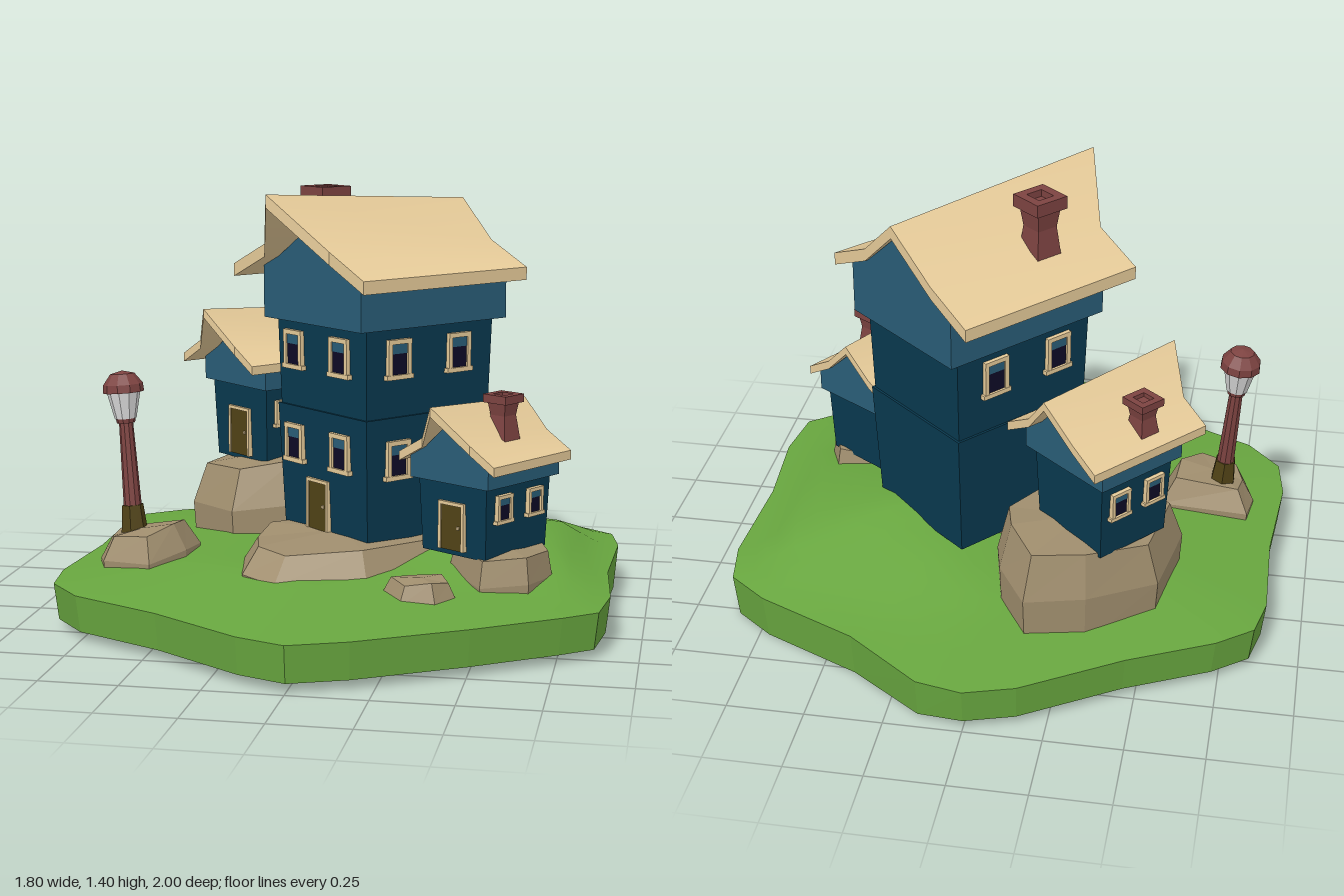
import * as THREE from 'three';
import { toCreasedNormals } from 'three/addons/utils/BufferGeometryUtils.js';

const mat = (name, color, side = THREE.FrontSide) => {
  const m = new THREE.MeshStandardMaterial({ color, side });
  m.name = name;
  return m;
};
const M = {
  grass: mat('grass', 0x68a63f, THREE.DoubleSide),
  rock: mat('rock', 0xa08e6e),
  wall: mat('dark blue wall', 0x08394f),
  gable: mat('light blue gable', 0x295d77),
  roof: mat('cream roof', 0xe6cb99),
  brick: mat('red brick', 0x7d4341),
  door: mat('brown door', 0x504216),
  pane: mat('dark pane', 0x0d0a26),
  glass: mat('lamp glass', 0xdcdcdc),
};

function add(parent, name, geo, material, x = 0, y = 0, z = 0) {
  const m = new THREE.Mesh(geo, material);
  m.name = name;
  m.position.set(x, y, z);
  parent.add(m);
  return m;
}
function group(parent, name, x = 0, y = 0, z = 0) {
  const g = new THREE.Group();
  g.name = name;
  g.position.set(x, y, z);
  parent.add(g);
  return g;
}
function flat(geo) {
  const g = geo.index ? geo.toNonIndexed() : geo;
  g.computeVertexNormals();
  return g;
}
const box = (w, h, d) => new THREE.BoxGeometry(w, h, d);

// Box with different half sizes at bottom and top, standing on y = 0
function taperBox(w0, d0, w1, d1, h) {
  const g = box(2, h, 2).translate(0, h / 2, 0);
  const p = g.attributes.position;
  for (let i = 0; i < p.count; i++) {
    const top = p.getY(i) > h / 2;
    p.setX(i, p.getX(i) * (top ? w1 : w0));
    p.setZ(i, p.getZ(i) * (top ? d1 : d0));
  }
  return flat(g);
}
function quads(list) {
  const pos = [];
  for (const [a, b, c, d] of list) pos.push(...a, ...b, ...c, ...a, ...c, ...d);
  const g = new THREE.BufferGeometry();
  g.setAttribute('position', new THREE.Float32BufferAttribute(pos, 3));
  return flat(g);
}

// Height of the slight bend halfway down each roof slope
const bendY = r => r.ye + (r.yb - r.ye) * 0.37;

// Roof slab with softly flared eaves and a ridge that juts forward
function roofGeo(r) {
  const { hw, hl, rx, rf, rb, ye, yf, yb, t } = r;
  const xs = [-hw, -hw / 2, rx, hw / 2, hw];
  const line = (y, z, ridgeZ, drop) => xs.map((x, i) =>
    [x, (i === 2 ? y : i % 2 ? bendY(r) : ye) - drop, i === 2 ? ridgeZ : z]);
  const F = line(yf, hl, rf, 0), B = line(yb, -hl, -rb, 0);
  const f = line(yf, hl, rf, t), b = line(yb, -hl, -rb, t);
  const list = [[f[4], b[4], B[4], F[4]], [b[0], f[0], F[0], B[0]]];
  for (let i = 0; i < 4; i++) {
    const j = i + 1;
    list.push([F[i], F[j], B[j], B[i]], [b[i], b[j], f[j], f[i]],
      [f[i], f[j], F[j], F[i]], [b[j], b[i], B[i], B[j]]);
  }
  return toCreasedNormals(quads(list), 0.5);
}

function gableGeo(w, d, y0, r) {
  const k = r.hw / 2, bend = bendY(r);
  const side = r.ye - r.t + (bend - r.ye) * (r.hw - w) / (r.hw - k);
  const s = new THREE.Shape([[-w, y0], [w, y0], [w, side], [k, bend - r.t],
    [r.rx, r.yb - r.t - 0.005], [-k, bend - r.t], [-w, side]].map(p => new THREE.Vector2(...p)));
  return new THREE.ExtrudeGeometry(s, { depth: 2 * d, bevelEnabled: false }).translate(0, 0, -d);
}

// Chimney: waisted shaft and a hollow cap
function chimney(parent, x, y0, y1, z, s) {
  const g = group(parent, 'chimney', x, y0, z), h = y1 - y0;
  add(g, 'chimneyFoot', taperBox(s * 0.85, s * 0.85, s * 0.62, s * 0.62, h * 0.55), M.brick);
  add(g, 'chimneyShaft', taperBox(s * 0.62, s * 0.62, s * 0.8, s * 0.8, h * 0.35), M.brick, 0, h * 0.55);
  const sq = r => [[-r, -r], [r, -r], [r, r], [-r, r]].map(p => new THREE.Vector2(...p));
  const cap = new THREE.Shape(sq(s));
  cap.holes.push(new THREE.Path(sq(s * 0.5)));
  const geo = new THREE.ExtrudeGeometry(cap, { depth: h * 0.18, bevelEnabled: false }).rotateX(-Math.PI / 2);
  add(g, 'chimneyCap', geo, M.brick, 0, h * 0.82);
}

// Window facing +z: dark pane, half-drawn blind and a cream frame
function windowAt(parent, w, h) {
  const g = group(parent, 'window'), b = w * 0.16;
  add(g, 'pane', box(w - b, h - b, 0.008), M.pane);
  add(g, 'blind', box(w - b, h * 0.26, 0.008), M.gable, 0, h * 0.27, 0.002);
  for (const s of [-1, 1]) {
    add(g, 'frameSide', box(b, h, 0.022), M.roof, s * (w - b) / 2);
    add(g, 'frameRail', box(w + (s < 0 ? b : 0), b, 0.024), M.roof, 0, s * (h - b) / 2);
  }
  return g;
}
function doorAt(parent, w, h) {
  const g = group(parent, 'door'), b = 0.011;
  add(g, 'doorLeaf', box(w - b, h, 0.012), M.door);
  add(g, 'doorLintel', box(w, b, 0.02), M.roof, 0, h / 2);
  for (const s of [-1, 1]) add(g, 'doorPost', box(b, h, 0.02), M.roof, s * (w - b) / 2);
  add(g, 'knob', box(0.01, 0.01, 0.022), M.roof, w * 0.27);
  return g;
}

// storeys: [y0, y1, halfWidth0, halfDepth0, halfWidth1, halfDepth1]
// windows: [face, along, y] where face is front, left or right
function house(parent, name, o) {
  const g = group(parent, name, o.x, 0, o.z);
  g.rotation.y = o.turn;
  for (const [y0, y1, ...s] of o.storeys) add(g, 'walls', taperBox(...s, y1 - y0), M.wall, 0, y0);
  add(g, 'gableStorey', gableGeo(...o.gable, o.roof), M.gable);
  add(g, 'roof', roofGeo(o.roof), M.roof, 0, 0, o.roof.dz);
  chimney(g, ...o.chimney);
  const place = (item, face, along, y) => {
    const [y0, y1, w0, d0, w1, d1] = o.storeys.find(s => y < s[1]);
    const t = (y - y0) / (y1 - y0), out = 0.004;
    if (face === 'front') return item.position.set(along, y, d0 + (d1 - d0) * t + out);
    const s = face === 'left' ? 1 : -1;
    item.position.set(s * (w0 + (w1 - w0) * t + out), y, along);
    item.rotation.y = s * Math.PI / 2;
  };
  for (const w of o.windows) place(windowAt(g, ...o.windowSize), ...w);
  const [doorX, doorW, doorH] = o.door;
  place(doorAt(g, doorW, doorH), 'front', doorX, o.storeys[0][0] + doorH / 2 + 0.018);
}

// Faceted boulder from a ground outline; its top is shrunk and leans up along x
function rock(parent, name, outline, y0, y1, shrink, lean) {
  const n = outline.length;
  const cx = outline.reduce((s, p) => s + p[0], 0) / n, cz = outline.reduce((s, p) => s + p[1], 0) / n;
  const ring = (s, t) => outline.map(([x, z], i) => {
    const dx = (x - cx) * s;
    return [cx + dx, y0 + (y1 - y0 + dx * lean) * t - (t && 0.012 * (i % 2)), cz + (z - cz) * s];
  });
  const rings = [ring(0.97, 0), ring(1, 0.55), ring(shrink, 1)], list = [];
  for (let i = 0; i < n; i++) {
    const j = (i + 1) % n;
    for (let r = 0; r < 2; r++) list.push([rings[r][i], rings[r][j], rings[r + 1][j], rings[r + 1][i]]);
    if (i % 2) continue;
    const k = (i + 2) % n, [low, , top] = rings;
    list.push([[cx, y1, cz], top[i], top[j], top[k]], [[cx, y0, cz], low[k], low[j], low[i]]);
  }
  add(parent, name, quads(list), M.rock);
}

// Island: smooth hilly top and a faceted skirt, open underneath
function island(parent) {
  const rim = [[0, -1], [.15, -.97], [.4, -.78], [.73, -.63], [.86, -.53], [.89, -.37], [.875, 0], [.9, .3],
    [.875, .49], [.77, .57], [.51, .74], [.18, .93], [0, 1], [-.16, .94], [-.46, .745], [-.76, .6],
    [-.875, .47], [-.9, .3], [-.875, -.05], [-.885, -.39], [-.855, -.53], [-.74, -.62], [-.47, -.755], [-.16, -.95]];
  const n = rim.length, steps = 14, pos = [], idx = [];
  const clamp = v => Math.min(1, Math.max(0, v));
  // Mound behind the houses with a steep outer bank
  const mound = (x, z) => 0.1 * clamp(1 - Math.abs(z + 0.15) / 0.52) * clamp((0.84 - x) / 0.14) * clamp((x + 0.1) / 0.35);
  const height = (x, z, f) => 0.15 + 0.05 * clamp((1 - f) * 2) + mound(x, z) * clamp((1 - f) * 12);
  for (let r = 0; r <= steps; r++) rim.forEach(([x, z], j) => {
    const f = r / steps;
    pos.push(x * f, height(x * f, z * f, f), z * f);
    if (!r) return;
    const k = (j + 1) % n, a = (r - 1) * n, b = r * n;
    idx.push(a + j, a + k, b + k, a + j, b + k, b + j);
  });
  const top = new THREE.BufferGeometry();
  top.setAttribute('position', new THREE.Float32BufferAttribute(pos, 3));
  top.setIndex(idx);
  top.computeVertexNormals();
  add(parent, 'grassTop', top, M.grass);
  const low = ([x, z]) => [x * 0.985, Math.max(0, 0.03 - 0.08 * Math.max(0, x) * Math.max(0, 0.3 - z)), z * 0.985];
  const high = ([x, z]) => [x, 0.15, z];
  add(parent, 'grassSkirt', quads(rim.map((p, j) => {
    const q = rim[(j + 1) % n];
    return [high(p), high(q), low(q), low(p)];
  })), M.grass);
}

function lamp(parent) {
  const g = group(parent, 'streetLamp', -0.69, 0.25, 0.17);
  g.rotation.set(-0.065, 0, 0.083);
  const cyl = (r1, r0, h, n = 10) => flat(new THREE.CylinderGeometry(r1, r0, h, n).translate(0, h / 2, 0));
  add(g, 'lampFoot', cyl(0.036, 0.046, 0.1, 6), M.door);
  add(g, 'lampPole', cyl(0.023, 0.03, 0.29), M.brick, 0, 0.1);
  add(g, 'lampCollar', cyl(0.034, 0.03, 0.02), M.brick, 0, 0.375);
  add(g, 'lampGlass', cyl(0.056, 0.036, 0.09), M.glass, 0, 0.39);
  const cap = [[0, 0.478], [0.068, 0.478], [0.066, 0.505], [0.04, 0.54], [0, 0.55]];
  add(g, 'lampCap', flat(new THREE.LatheGeometry(cap.map(p => new THREE.Vector2(...p)), 10)), M.brick);
}

export function createModel() {
  const root = new THREE.Group();
  root.name = 'hillHouses';
  island(root);

  rock(root, 'mainRock', [[-.3, .03], [-.31, .22], [-.26, .43], [-.14, .5], [.14, .42], [.36, .14],
    [.36, -.1], [.25, -.25], [.05, -.28], [-.15, -.15]], 0.1, 0.28, 0.84, 0);
  rock(root, 'backRock', [[-.59, -.22], [-.42, -.09], [-.2, -.12], [-.01, -.43], [-.04, -.56], [-.14, -.71],
    [-.33, -.66], [-.54, -.5]], 0.12, 0.445, 0.86, 0.12);
  rock(root, 'sideRock', [[.38, .25], [.5, .43], [.65, .4], [.71, .23], [.66, .09], [.48, .08]], 0.1, 0.285, 0.9, 0);
  rock(root, 'smallRock', [[.2, .5], [.27, .58], [.38, .575], [.44, .5], [.4, .42], [.27, .4]], 0.1, 0.235, 0.75, 0);
  rock(root, 'lampRock', [[-.785, .08], [-.8, .2], [-.76, .3], [-.59, .35], [-.5, .22], [-.49, .07]], 0.1, 0.28, 0.72, 0.2);

  house(root, 'mainHouse', {
    x: 0.115, z: -0.07, turn: -0.718,
    storeys: [[0.26, 0.68, 0.22, 0.25, 0.235, 0.268], [0.68, 0.98, 0.227, 0.26, 0.235, 0.268]],
    gable: [0.258, 0.308, 0.97],
    roof: { hw: 0.345, hl: 0.343, rx: 0.025, rf: 0.48, rb: 0.345, ye: 1.145, yf: 1.4, yb: 1.355, t: 0.042, dz: 0.025 },
    chimney: [-0.165, 1.17, 1.402, 0.12, 0.06],
    windowSize: [0.095, 0.13], door: [-0.027, 0.115, 0.165],
    windows: [['front', -0.143, 0.87], ['front', 0.1, 0.87], ['front', -0.143, 0.555], ['front', 0.1, 0.555],
      ['left', 0.137, 0.87], ['left', -0.118, 0.87], ['left', 0.137, 0.54],
      ['right', 0.137, 0.87], ['right', -0.118, 0.87], ['right', 0.137, 0.54]],
  });
  house(root, 'backHouse', {
    x: -0.345, z: -0.41, turn: -0.71,
    storeys: [[0.42, 0.7, 0.145, 0.135, 0.157, 0.145]],
    gable: [0.18, 0.165, 0.69],
    roof: { hw: 0.205, hl: 0.23, rx: 0.02, rf: 0.3, rb: 0.24, ye: 0.785, yf: 0.97, yb: 0.94, t: 0.03, dz: 0.01 },
    chimney: [-0.13, 0.79, 0.925, 0.04, 0.045],
    windowSize: [0.075, 0.095], door: [0, 0.12, 0.165],
    windows: [['left', 0.07, 0.6], ['left', -0.07, 0.6], ['right', 0.07, 0.6], ['right', -0.07, 0.6]],
  });
  house(root, 'sideHouse', {
    x: 0.487, z: 0.205, turn: -0.575,
    storeys: [[0.27, 0.52, 0.13, 0.15, 0.139, 0.16]],
    gable: [0.16, 0.178, 0.505],
    roof: { hw: 0.195, hl: 0.194, rx: 0, rf: 0.27, rb: 0.2, ye: 0.585, yf: 0.76, yb: 0.735, t: 0.03, dz: 0 },
    chimney: [0.072, 0.63, 0.778, 0, 0.046],
    windowSize: [0.073, 0.092], door: [0, 0.105, 0.15],
    windows: [['left', 0.077, 0.43], ['left', -0.077, 0.43]],
  });
  lamp(root);
  return root;
}
